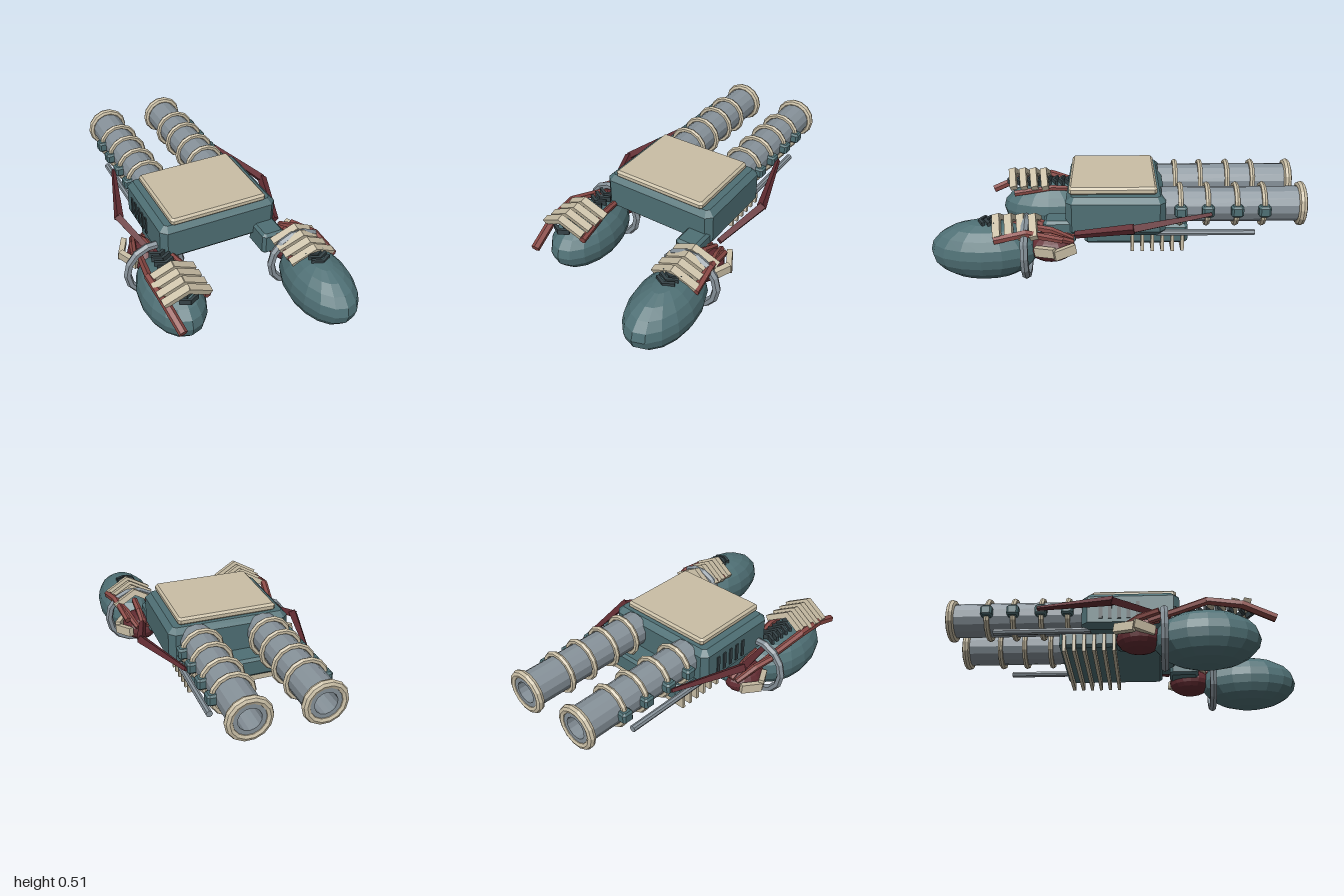
import * as THREE from 'three';

const mat = (name, color) => Object.assign(
  new THREE.MeshStandardMaterial({ color, flatShading: true }), { name });

export function createModel() {
  const teal = mat('teal', 0x4f7075);
  const cream = mat('cream', 0xcabfa6);
  const steel = mat('steel', 0x87929a);
  const red = mat('red', 0x8c4a46);
  const maroon = mat('maroon', 0x622c32);
  const dark = mat('dark', 0x364347);

  const root = new THREE.Group();
  const V = (x, y, z) => new THREE.Vector3(x, y, z);
  const add = (name, geo, m, x = 0, y = 0, z = 0, parent = root) => {
    const mesh = new THREE.Mesh(geo, m);
    mesh.name = name;
    mesh.position.set(x, y, z);
    parent.add(mesh);
    return mesh;
  };
  const box = (name, m, w, h, d, x, y, z, parent) =>
    add(name, new THREE.BoxGeometry(w, h, d), m, x, y, z, parent);

  // Slab with chamfered edges all round, resting on height y0
  const slab = (name, m, w, h, d, x, y0, z, c) => {
    const a = w / 2 - c, b = d / 2 - c, k = c * 0.5;
    const s = new THREE.Shape([
      [-a + k, -b], [a - k, -b], [a, -b + k], [a, b - k],
      [a - k, b], [-a + k, b], [-a, b - k], [-a, -b + k],
    ].map(p => new THREE.Vector2(...p)));
    const g = new THREE.ExtrudeGeometry(s, {
      depth: h - 2 * c, bevelEnabled: true, bevelSize: c, bevelThickness: c, bevelSegments: 1,
    });
    g.rotateX(-Math.PI / 2);
    return add(name, g, m, x, y0 + c, z);
  };

  // Straight bars joined through a list of points, with a radius at each point
  const bars = (name, m, pts, radii, sides = 6) => {
    const g = new THREE.Group();
    g.name = name;
    for (let i = 0; i < pts.length - 1; i++) {
      const dir = pts[i + 1].clone().sub(pts[i]);
      const bar = add(name + 'Segment',
        new THREE.CylinderGeometry(radii[i + 1], radii[i], dir.length() + 0.008, sides), m, 0, 0, 0, g);
      bar.position.copy(pts[i]).addScaledVector(dir, 0.5);
      bar.quaternion.setFromUnitVectors(V(0, 1, 0), dir.normalize());
    }
    root.add(g);
  };

  // V-shaped plate: two boxes meeting at a ridge
  const chevron = (name, m, half, thick, depth, drop, x, y, z) => {
    const g = new THREE.Group();
    g.name = name;
    g.position.set(x, y, z);
    for (const s of [-1, 1]) {
      const b = box(name + 'Half', m, Math.hypot(half, drop) + thick * 0.4, thick, depth,
        s * half / 2, -drop / 2, 0, g);
      b.rotation.z = -s * Math.atan2(drop, half);
    }
    root.add(g);
    return g;
  };

  // Hull, lid and belly
  slab('hull', teal, 0.68, 0.215, 0.53, 0, 0.26, 0.02, 0.03);
  slab('lid', cream, 0.555, 0.043, 0.47, 0, 0.472, 0.035, 0.012);
  slab('belly', teal, 0.52, 0.11, 0.56, 0, 0.185, -0.09, 0.015);
  for (let i = 0; i < 6; i++)
    box('bellyRib', cream, 0.56, 0.1, 0.018, 0, 0.2, -0.07 - i * 0.054);
  for (let i = 0; i < 5; i++)
    box('sideVent', dark, 0.009, 0.1, 0.02, -0.342, 0.36, -0.14 + i * 0.05);

  // Hollow barrels with hoops, clamps and a lower rod
  for (const s of [-1, 1]) {
    const x = s * 0.19, y = 0.39;
    const profile = [[0.06, -0.12], [0.06, 0.765], [0.095, 0.765], [0.095, 0], [0.06, 0]]
      .map(p => new THREE.Vector2(...p)).reverse();
    const g = new THREE.LatheGeometry(profile, 14);
    g.rotateX(-Math.PI / 2);
    const barrelSteel = steel;
    barrelSteel.side = THREE.DoubleSide;
    add('barrel', g, barrelSteel, x, y, -0.225);
    for (const z of [-0.325, -0.47, -0.625, -0.77]) {
      add('barrelHoop', new THREE.TorusGeometry(0.107, 0.015, 6, 14), cream, x, y, z);
      slab('barrelClamp', teal, 0.06, 0.06, 0.065, s * 0.295, 0.36, z, 0.01);
    }
    add('muzzleRing', new THREE.TorusGeometry(0.1, 0.022, 8, 14), cream, x, y, -0.978);
    bars('lowerRod', steel, [V(s * 0.29, 0.265, -0.2), V(s * 0.29, 0.265, -0.72)], [0.018, 0.018], 8);
    // Bent strut from barrel to leg
    bars('sideStrut', maroon, [
      V(s * 0.33, 0.385, -0.48), V(s * 0.45, 0.357, -0.07), V(s * 0.37, 0.29, 0.23),
    ], [0.013, 0.027, 0.02], 4);
  }

  // Legs; the -x one is drawn back and lower
  const ball = (name, m, rx, ry, rz, x, y, z) => {
    const g = new THREE.SphereGeometry(1, 16, 10);
    g.scale(rx, ry, rz);
    return add(name, g, m, x, y, z);
  };
  for (const s of [1, -1]) {
    const dy = s > 0 ? 0 : -0.045, dz = s > 0 ? 0 : -0.29;
    const x = s * 0.357;
    ball('foot', teal, 0.165, 0.16, 0.285, x, 0.207 + dy, 0.71 + dz);
    ball('ankle', maroon, 0.1, 0.078, 0.125, x, 0.218 + dy, 0.36 + dz);
    add('ankleRing', new THREE.TorusGeometry(0.156, 0.022, 6, 14), steel, x, 0.222 + dy, 0.49 + dz);
    slab('hipBlock', teal, 0.13, 0.13, 0.17, s * 0.265, 0.215 + dy, 0.32 + dz, 0.015);

    // Folded guard beside the ankle
    for (const e of [-1, 1]) {
      const b = box('ankleGuard', cream, 0.03, 0.05, 0.12,
        s * 0.465, 0.235 + dy, 0.335 + dz + e * 0.05);
      b.rotation.y = -s * e * 0.5;
      b.rotation.x = 0.15;
    }

    // Pipes over the ankle
    for (const o of [-0.05, 0.0, 0.06])
      bars('anklePipe', red, [
        V(x + s * o * 0.6, 0.26 + dy, 0.25 + dz),
        V(x + s * o * 1.2, 0.31 + dy, 0.36 + dz),
        V(x + s * o * 1.7, 0.33 + dy, 0.46 + dz),
      ], [0.016, 0.02, 0.018]);

    // Toe pipes
    if (s > 0) {
      bars('outerToePipe', red, [V(0.44, 0.29, 0.3), V(0.465, 0.34, 0.48), V(0.482, 0.31, 0.64)], [0.018, 0.022, 0.022]);
      bars('innerToePipe', red, [V(0.29, 0.29, 0.34), V(0.255, 0.32, 0.6)], [0.016, 0.018]);
    } else {
      bars('outerToePipe', red, [V(-0.42, 0.25, 0.12), V(-0.475, 0.33, 0.42),
        V(-0.465, 0.31, 0.6), V(-0.443, 0.24, 0.77)], [0.018, 0.022, 0.024, 0.024]);
      bars('innerToePipe', red, [V(-0.31, 0.28, 0.12), V(-0.27, 0.31, 0.4), V(-0.24, 0.285, 0.62)], [0.016, 0.018, 0.02]);
    }

    // Ridged plates above the foot
    for (let i = 0; i < 4; i++) {
      const c = chevron('ridgePlate', cream, 0.118, 0.032, 0.04, 0.066, x, 0.388, 0.455 + i * 0.063);
      c.rotation.x = 0.25;
    }

    // Small dark arrow-shaped ridges along the instep
    const ridges = s > 0 ? [0.67, 0.7, 0.73] : [0.28, 0.32, 0.36, 0.4, 0.44, 0.5, 0.56, 0.62, 0.67];
    for (const z of ridges)
      for (const e of [-1, 1]) {
        const b = box('instepRidge', dark, 0.06, 0.03, 0.016, x + e * 0.024,
          s > 0 ? 0.362 : 0.325, z - 0.012);
        b.rotation.y = e * 0.5;
      }
  }
  return root;
}
